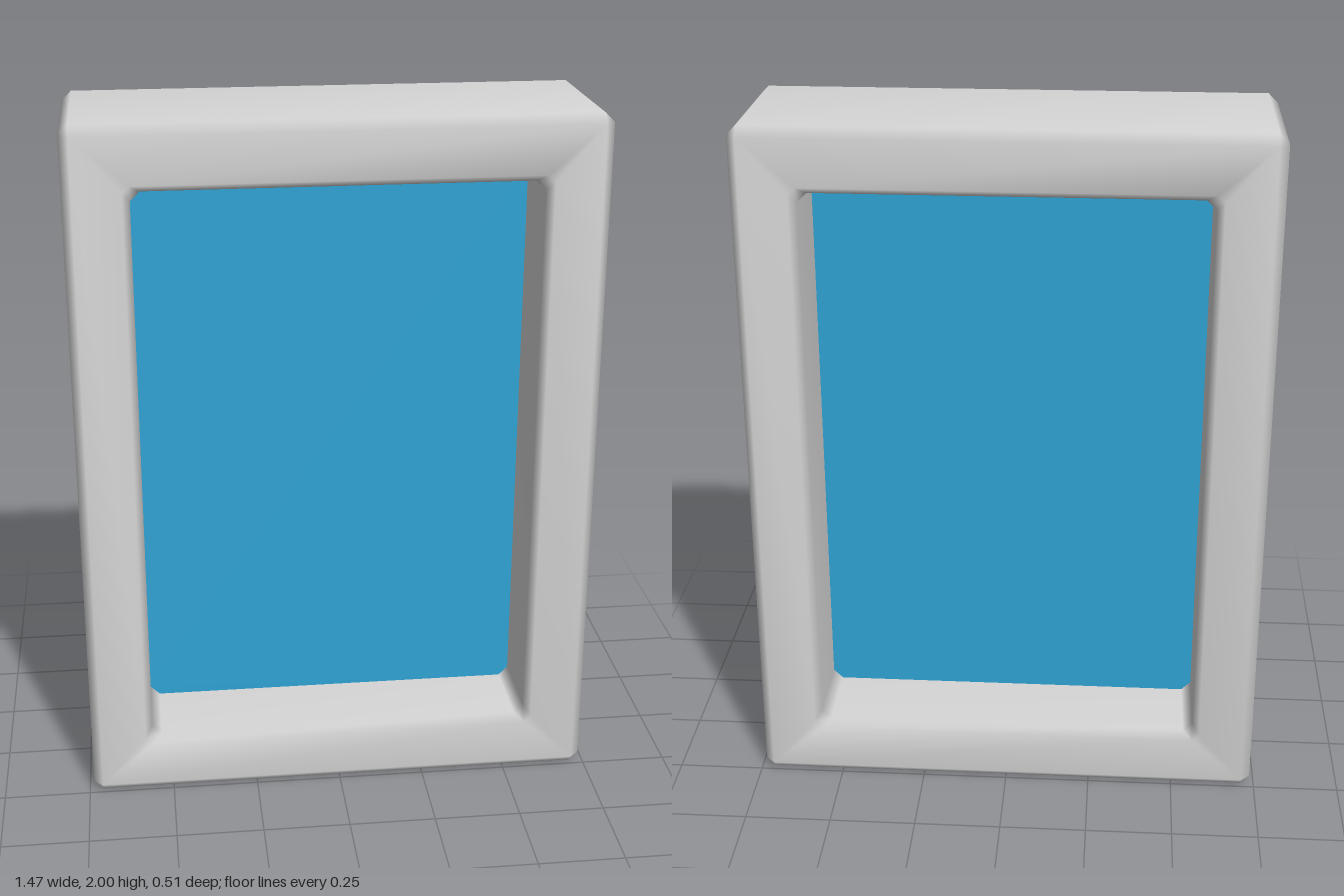
import * as THREE from 'three';
import { mergeVertices } from 'three/addons/utils/BufferGeometryUtils.js';

const frameGrey = new THREE.MeshStandardMaterial({ color: 0xd6d6d6 });
frameGrey.name = 'frameGrey';
const paneBlue = new THREE.MeshStandardMaterial({ color: 0x2fa4d5, side: THREE.DoubleSide });
paneBlue.name = 'paneBlue';

const W = 0.737, H = 1, D = 0.256; // outer half sizes
const HOLE_W = 0.558, HOLE_H = 0.82; // opening half sizes
const B = 0.027; // bevel width

// Rectangle with cut corners, counter-clockwise from the lower right
function cutRectangle(w, h, cut) {
  return [
    [w - cut, -h], [w, -h + cut], [w, h - cut], [w - cut, h],
    [-w + cut, h], [-w, h - cut], [-w, -h + cut], [-w + cut, -h],
  ];
}

// Bevelled frame: eight-point loops joined around its cross-section
function frameGeometry() {
  const loops = [
    [W, H, B, -D + B],
    [W, H, B, D - B],
    [W - B, H - B, 0, D],
    [HOLE_W + 0.02, HOLE_H + 0.02, 0.02, D],
    [HOLE_W, HOLE_H, 0.027, D - B],
    [HOLE_W, HOLE_H, 0.027, -D + B],
    [HOLE_W + 0.02, HOLE_H + 0.02, 0.02, -D],
    [W - B, H - B, 0, -D],
  ];
  const positions = [];
  const index = [];
  loops.forEach(([w, h, cut, z], i) => {
    cutRectangle(w, h, cut).forEach(([x, y], j) => {
      positions.push(x, y, z);
      const next = ((i + 1) % loops.length) * 8;
      const k = (j + 1) % 8;
      const a = i * 8 + j, b = i * 8 + k, c = next + k, d = next + j;
      index.push(a, b, c, a, c, d);
    });
  });
  const geometry = new THREE.BufferGeometry();
  geometry.setAttribute('position', new THREE.Float32BufferAttribute(positions, 3));
  geometry.setIndex(index);
  const merged = mergeVertices(geometry, 1e-4);
  merged.computeVertexNormals();
  return merged;
}

export function createModel() {
  const model = new THREE.Group();
  model.name = 'framedWindow';

  const frame = new THREE.Mesh(frameGeometry(), frameGrey);
  frame.name = 'frame';
  frame.position.y = H;
  model.add(frame);

  // Thin pane halfway through the opening
  const outline = cutRectangle(HOLE_W, HOLE_H, 0.027).map(([x, y]) => new THREE.Vector2(x, y));
  const pane = new THREE.Mesh(new THREE.ShapeGeometry(new THREE.Shape(outline)), paneBlue);
  pane.name = 'pane';
  pane.position.y = H;
  model.add(pane);

  return model;
}
